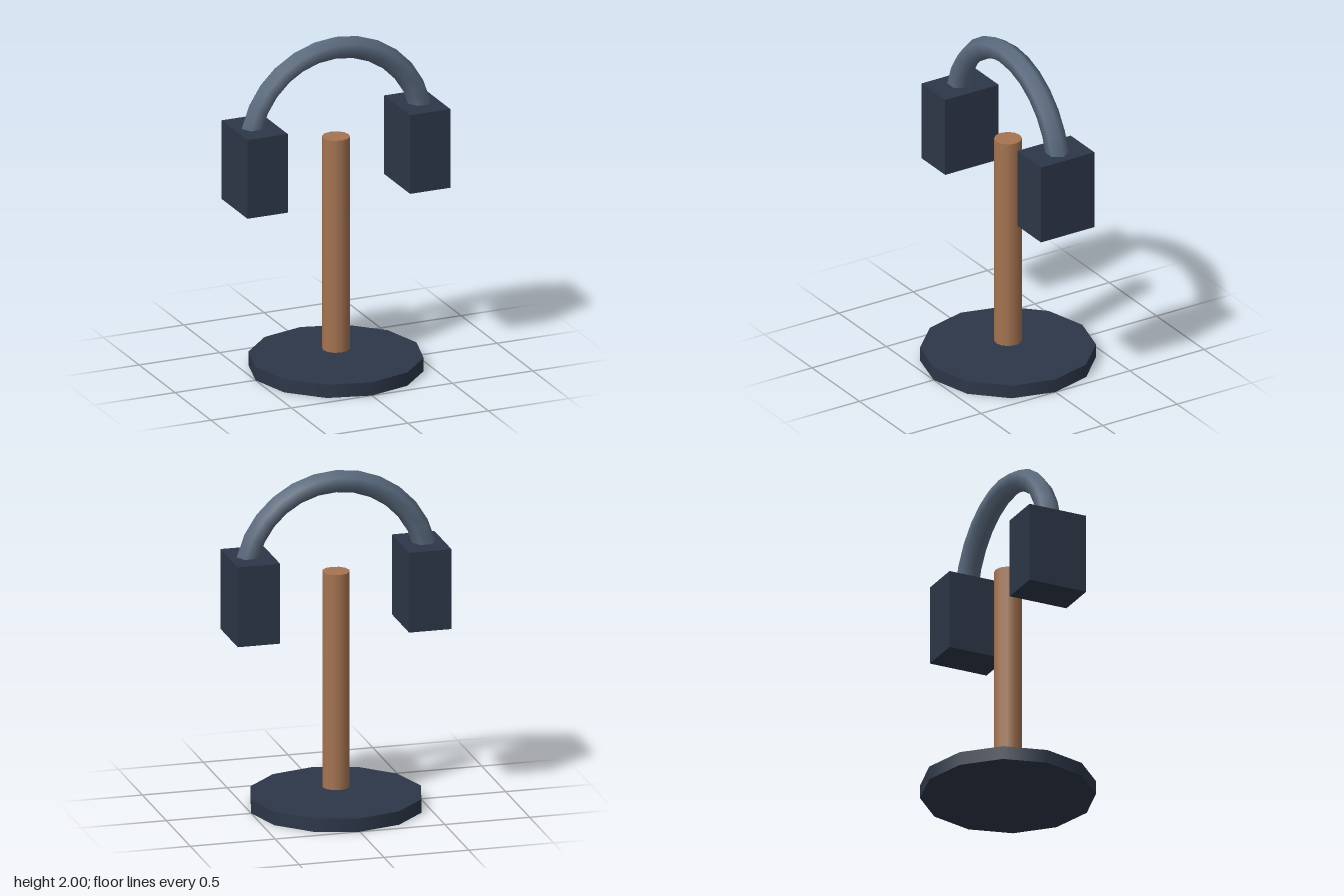
import * as THREE from 'three';

const paint = (color) => new THREE.MeshStandardMaterial({ color });

export function createModel() {
  const model = new THREE.Group();
  model.name = 'headphoneStand';
  const dark = paint(0x2d3748);
  const slate = paint(0x5a6a7e);
  const wood = paint(0xa57452);

  const add = (name, geometry, material, x, y) => {
    const mesh = new THREE.Mesh(geometry, material);
    mesh.name = name;
    mesh.position.set(x, y, 0);
    model.add(mesh);
  };

  // Twelve-sided foot and the post floating just above it
  add('base', new THREE.CylinderGeometry(0.5, 0.5, 0.08, 12), dark, 0, 0.04);
  add('post', new THREE.CylinderGeometry(0.08, 0.08, 1.28, 12), wood, 0, 0.76);

  // Half-ring headband, six-sided in section, ending inside the ear cups
  add('headband', new THREE.TorusGeometry(0.534, 0.066, 6, 14, Math.PI), slate, 0, 1.4);

  // Ear cups
  for (const side of [1, -1]) {
    add(side > 0 ? 'leftEarCup' : 'rightEarCup',
      new THREE.BoxGeometry(0.25, 0.475, 0.36), dark, side * 0.505, 1.292);
  }
  return model;
}
